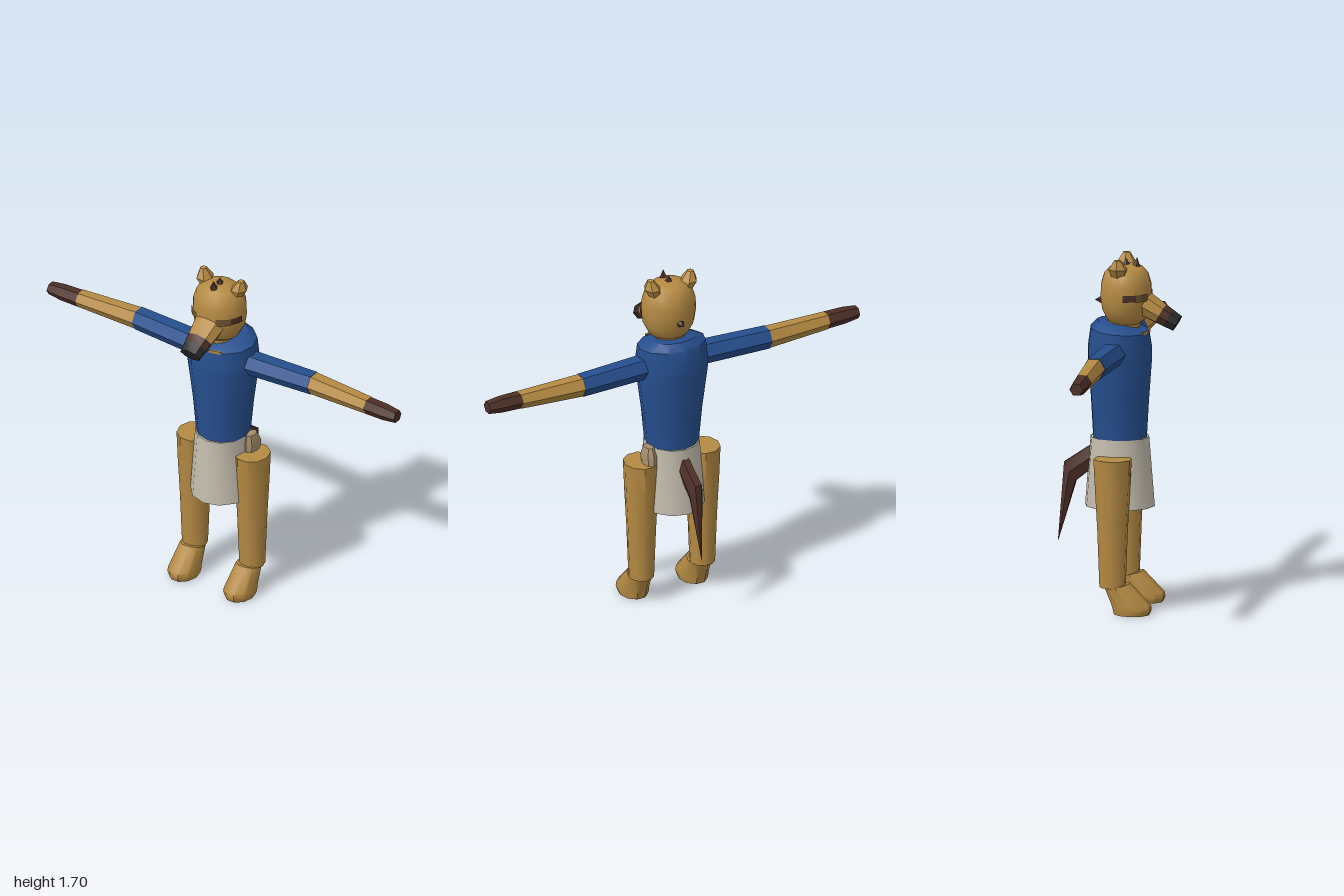
import * as THREE from 'three';
import { toCreasedNormals } from 'three/addons/utils/BufferGeometryUtils.js';

const mat = (name, color, side = THREE.FrontSide) => {
  const m = new THREE.MeshStandardMaterial({ color, side });
  m.name = name;
  return m;
};

// Skin through rings [centre, u, v]; each ring is centre + u cos + v sin.
function loft(rings, sides, caps = true, crease = 0.65) {
  const R = rings.map(r => r.map(a => new THREE.Vector3(...a)));
  const axis = R[R.length - 1][0].clone().sub(R[0][0]);
  const flip = R[0][1].clone().cross(R[0][2]).dot(axis) < 0 ? -1 : 1;
  const pos = [], idx = [];
  for (const [c, u, v] of R) {
    for (let i = 0; i < sides; i++) {
      const t = (i / sides) * Math.PI * 2;
      const p = c.clone().addScaledVector(u, Math.cos(t)).addScaledVector(v, flip * Math.sin(t));
      pos.push(p.x, p.y, p.z);
    }
  }
  for (let k = 0; k < R.length - 1; k++) {
    for (let i = 0; i < sides; i++) {
      const j = (i + 1) % sides, a = k * sides, b = a + sides;
      idx.push(a + i, a + j, b + i, a + j, b + j, b + i);
    }
  }
  if (caps) {
    const last = (R.length - 1) * sides;
    for (let i = 1; i < sides - 1; i++) idx.push(0, i + 1, i, last, last + i, last + i + 1);
  }
  const g = new THREE.BufferGeometry();
  g.setAttribute('position', new THREE.Float32BufferAttribute(pos, 3));
  g.setIndex(idx);
  return toCreasedNormals(g, crease);
}

// Horizontal ring: centre x, y, z, radii, and a forward tilt (front edge height minus centre)
const flat = (x, y, z, rx, rz, tilt = 0) => [[x, y, z], [rx, 0, 0], [0, tilt, rz]];

export function createModel() {
  const model = new THREE.Group();
  const fur = mat('tan fur', 0xb58a43);
  const shirt = mat('blue shirt', 0x264f8f);
  const cloth = mat('pale cloth', 0xc4bdae, THREE.DoubleSide);
  const brown = mat('dark brown', 0x4d2f27);
  const black = mat('nose black', 0x2b2827);
  const mask = mat('eye shade', 0x6c5230, THREE.DoubleSide);
  const pouchTan = mat('pouch tan', 0xa58d6c);

  const add = (name, geo, m) => {
    const mesh = new THREE.Mesh(geo, m);
    mesh.name = name;
    model.add(mesh);
    return mesh;
  };

  // Shirt body and skirt
  add('torso', loft([
    flat(0, 0.82, 0, 0.13, 0.13), flat(0, 1.0, 0, 0.148, 0.14),
    flat(0, 1.22, 0, 0.179, 0.156), flat(0, 1.26, 0, 0.179, 0.156),
    flat(0, 1.35, 0, 0.17, 0.142, -0.012), flat(0, 1.385, -0.02, 0.115, 0.09, -0.01),
  ], 12), shirt);
  add('skirt', loft([flat(0, 0.495, 0, 0.153, 0.169), flat(0, 0.83, 0, 0.131, 0.142)], 12, false), cloth);
  add('skirtLining', loft([flat(0, 0.53, 0, 0.149, 0.164), flat(0, 0.54, 0, 0.149, 0.164)], 12), cloth);
  add('skirtWaist', loft([flat(0, 0.82, 0, 0.131, 0.142), flat(0, 0.829, 0, 0.131, 0.142)], 12), cloth);
  add('hipPouch', loft([
    flat(0.14, 0.68, -0.035, 0.03, 0.05), flat(0.142, 0.79, -0.035, 0.034, 0.054),
    flat(0.14, 0.835, -0.03, 0.022, 0.035),
  ], 8), pouchTan);

  // Neck and head
  add('neck', loft([flat(0, 1.3, 0.01, 0.08, 0.08), flat(0, 1.42, 0.025, 0.08, 0.08)], 10), fur);
  const headProfile = [[0, 1.365], [0.06, 1.37], [0.1, 1.4], [0.125, 1.45], [0.134, 1.51], [0.131, 1.57],
    [0.115, 1.62], [0.085, 1.65], [0.045, 1.662], [0, 1.664]].map(p => new THREE.Vector2(...p));
  const head = add('head', new THREE.LatheGeometry(headProfile, 16), fur);
  head.scale.z = 0.92;
  head.position.z = 0.03;

  // Muzzle sections along a downward slope
  const dir = [0.87, -0.5];
  const muzzleRing = t => {
    const d = -0.03 + 0.2 * t, w = 0.084 - 0.028 * t, h = 0.064 - 0.022 * t;
    return [[0, 1.47 + dir[1] * d, 0.13 + dir[0] * d], [w, 0, 0], [0, h * dir[0], -h * dir[1]]];
  };
  [['muzzle', 0, 0.55, fur], ['muzzleBand', 0.55, 0.76, brown], ['noseTip', 0.76, 1, black]]
    .forEach(([n, a, b, m]) => add(n, loft([muzzleRing(a), muzzleRing(b)], 8), m));

  // Crest tufts
  const tuft = (name, y, z, tilt, h) => {
    const c = add(name, toCreasedNormals(new THREE.ConeGeometry(0.025, h, 5), 0.5), brown);
    c.position.set(0, y, z);
    c.rotation.x = tilt;
  };
  tuft('frontTuft', 1.672, 0.08, 0.1, 0.055);
  tuft('crownTuft', 1.672, 0.03, 0, 0.04);
  tuft('napeTuft', 1.485, -0.1, -1.6, 0.045);

  // Tail hanging from the back
  add('tail', loft([
    [[0, 0.73, -0.13], [0.034, 0, 0], [0, 0.068, 0]],
    [[0, 0.65, -0.24], [0.036, 0, 0], [0, 0.052, -0.032]],
    [[0, 0.31, -0.3], [0.001, 0, 0], [0, 0, -0.001]],
  ], 6), brown);

  for (const s of [1, -1]) {
    const side = s > 0 ? 'left' : 'right';

    // Six-sided arm: sleeve, forearm, hand
    const arm = (x, z, ry, rz) => [[s * x, 1.253, z], [0, 0, rz], [0, ry / 0.866, 0]];
    add(side + 'Sleeve', loft([arm(0.12, 0, 0.052, 0.064), arm(0.505, -0.022, 0.049, 0.056)], 6), shirt);
    add(side + 'Forearm', loft([arm(0.505, -0.022, 0.047, 0.054), arm(0.83, -0.01, 0.037, 0.045)], 6), fur);
    add(side + 'Hand', loft([
      arm(0.83, -0.008, 0.037, 0.042), arm(0.93, -0.006, 0.035, 0.04), arm(1, -0.005, 0.027, 0.033),
    ], 6), brown);

    // Leg and foot
    const lx = s * 0.165;
    add(side + 'Leg', loft([
      flat(lx, 0.13, -0.002, 0.061, 0.063), flat(lx, 0.4, -0.002, 0.071, 0.073),
      flat(lx, 0.6, -0.002, 0.081, 0.084), flat(lx, 0.75, -0.002, 0.086, 0.092),
    ], 10), fur);
    const fx = s * 0.161;
    add(side + 'Foot', loft([
      flat(fx, 0, 0.09, 0.068, 0.086), flat(fx, 0.022, 0.093, 0.074, 0.094),
      flat(fx, 0.045, 0.088, 0.072, 0.096), flat(fx, 0.135, 0.022, 0.062, 0.06, 0.014),
    ], 10), fur);

    // Ear
    add(side + 'Ear', loft([
      flat(s * 0.08, 1.6, 0.01, 0.024, 0.03), flat(s * 0.099, 1.655, 0.01, 0.041, 0.048),
      flat(s * 0.108, 1.7, 0.01, 0.016, 0.018),
    ], 6, true, 0.3), fur);

    // Eye patches wrapped on the head
    const patch = (name, from, to, y0, y1, m) => {
      const pts = [new THREE.Vector2(0.138, y0), new THREE.Vector2(0.137, y1)];
      const p = add(side + name, new THREE.LatheGeometry(pts, 5, s > 0 ? from : -to, to - from), m);
      p.scale.z = 0.92;
      p.position.z = 0.03;
    };
    patch('EyePatch', 0.42, 0.98, 1.5, 1.535, mask);
    patch('EyeStripe', 0.98, 1.48, 1.503, 1.535, brown);

    // Fur showing at the collar
    const collar = add(side + 'CollarFur', new THREE.BoxGeometry(0.06, 0.014, 0.009), fur);
    collar.position.set(s * 0.042, 1.341, 0.132);
    collar.rotation.y = s * 0.25;
  }
  return model;
}
